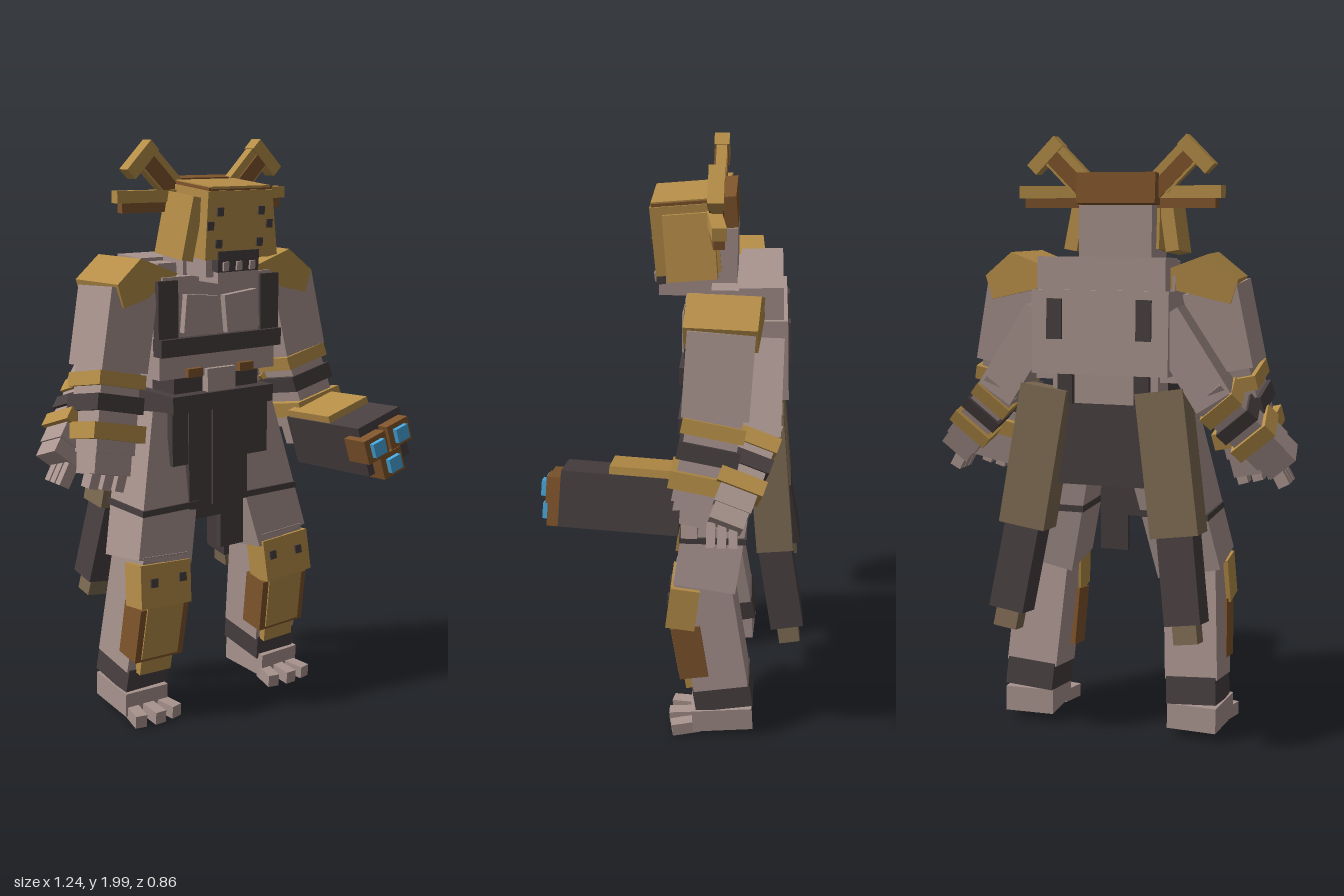
import * as THREE from 'three';

const V = (a) => new THREE.Vector3(...a);

export function createModel() {
  const root = new THREE.Group();
  root.name = 'armouredGuardian';
  const mat = (name, color) => {
    const m = new THREE.MeshStandardMaterial({ color });
    m.name = name;
    return m;
  };
  const skin = mat('greySkin', 0xa9948f), gold = mat('gold', 0xb68e48), brown = mat('brown', 0x80552c);
  const dark = mat('darkLeather', 0x483f40), taupe = mat('taupeCloth', 0x7d6a52), blue = mat('blueGlow', 0x48a6dc);

  // Axis-aligned or rotated block
  function box(name, m, size, pos, rot = [0, 0, 0], parent = root) {
    const mesh = new THREE.Mesh(new THREE.BoxGeometry(...size), m);
    mesh.name = name;
    mesh.position.set(...pos);
    mesh.rotation.set(...rot);
    parent.add(mesh);
    return mesh;
  }
  // Block running from point a to point b, covering fractions t0..t1 of the way
  function limb(name, m, a, b, w, d, t0 = 0, t1 = 1) {
    const A = V(a), B = V(b), dir = B.clone().sub(A);
    const mesh = box(name, m, [w, dir.length() * (t1 - t0), d], A.clone().lerp(B, (t0 + t1) / 2).toArray());
    mesh.quaternion.setFromUnitVectors(V([0, -1, 0]), dir.normalize());
    return mesh;
  }

  // Torso
  box('chest', skin, [0.46, 0.3, 0.24], [0, 1.4, -0.15]);
  box('ribs', skin, [0.49, 0.09, 0.24], [0, 1.25, -0.15]);
  box('upperBack', skin, [0.43, 0.2, 0.14], [0, 1.505, -0.262], [0.04, 0, 0]);
  box('middleBack', skin, [0.46, 0.27, 0.14], [0, 1.365, -0.28], [0.04, 0, 0]);
  box('lowerBack', skin, [0.36, 0.16, 0.12], [0, 1.21, -0.23]);
  box('collar', skin, [0.4, 0.07, 0.2], [0, 1.555, -0.2]);
  box('abdomen', dark, [0.36, 0.14, 0.2], [0, 1.16, -0.14]);
  box('navelSkin', skin, [0.12, 0.1, 0.04], [0, 1.18, -0.03]);
  box('chestBand', dark, [0.51, 0.06, 0.05], [0, 1.316, -0.027]);

  // Head and mask
  box('neck', skin, [0.25, 0.28, 0.12], [0, 1.63, -0.12]);
  box('jaw', skin, [0.16, 0.07, 0.15], [0, 1.565, 0.0]);
  box('chin', skin, [0.22, 0.07, 0.12], [0, 1.585, -0.01]);
  const head = new THREE.Group();
  head.name = 'mask';
  head.position.set(0, 1.73, 0);
  head.rotation.x = 0.09;
  root.add(head);
  box('maskFace', gold, [0.27, 0.225, 0.21], [0, 0, -0.015], [0, 0, 0], head);
  box('crownEdge', brown, [0.26, 0.015, 0.2], [0, 0.115, -0.015], [0, 0, 0], head);
  box('crownTop', gold, [0.245, 0.008, 0.195], [0, 0.122, -0.012], [0, 0, 0], head);
  box('rearBand', brown, [0.27, 0.1, 0.07], [0, 0.08, -0.15], [0, 0, 0], head);
  box('mouth', dark, [0.17, 0.07, 0.06], [0, -0.12, 0.065], [0, 0, 0], head);
  for (const x of [-0.055, 0, 0.055]) box('tooth', skin, [0.022, 0.03, 0.01], [x, -0.135, 0.098], [0, 0, 0], head);

  // Belt and hanging cloths
  box('belt', dark, [0.43, 0.06, 0.27], [0, 1.12, -0.13]);
  box('hips', dark, [0.36, 0.2, 0.22], [0, 1.0, -0.16]);
  box('frontApron', dark, [0.41, 0.19, 0.03], [0, 1.0, -0.03]);
  box('rightCloth', dark, [0.14, 0.39, 0.03], [-0.07, 0.9, -0.025]);
  box('leftCloth', dark, [0.1, 0.5, 0.025], [0.05, 0.83, -0.03]);
  box('middleCloth', dark, [0.15, 0.34, 0.02], [0.03, 0.92, -0.01]);
  box('rearApron', dark, [0.34, 0.28, 0.03], [0, 1.0, -0.28], [0.06, 0, 0]);

  for (const s of [1, -1]) {
    const side = s > 0 ? 'left' : 'right';
    const p = (x, y, z) => [s * x, y, z];

    // Mask studs, cheek flaps and horns
    for (const [x, y] of [[0.085, 0.045], [0.122, 0], [0.085, -0.06]])
      box(side + 'MaskStud', dark, [0.025, 0.028, 0.008], p(x, y, 0.092), [0, 0, 0], head);
    box(side + 'CheekFlap', gold, [0.045, 0.21, 0.16], p(0.16, -0.015, -0.03), [0, 0, s * 0.17], head);
    box(side + 'SideHornTop', gold, [0.23, 0.04, 0.045], p(0.235, 1.813, -0.115), [0, s * 0.12, 0]);
    box(side + 'SideHornUnder', brown, [0.21, 0.035, 0.035], p(0.225, 1.778, -0.115), [0, s * 0.12, 0]);
    limb(side + 'HornSheath', gold, p(0.13, 1.835, -0.115), p(0.245, 1.95, -0.115), 0.085, 0.035);
    limb(side + 'HornStalk', brown, p(0.12, 1.812, -0.113), p(0.235, 1.927, -0.113), 0.05, 0.045);
    limb(side + 'HornTip', gold, p(0.212, 1.98, -0.115), p(0.306, 1.886, -0.115), 0.045, 0.05);

    // Chest details and harness
    box(side + 'Pectoral', skin, [0.14, 0.13, 0.04], p(0.085, 1.42, -0.025), [0, 0, s * 0.1]);
    box(side + 'FrontStrap', dark, [0.08, 0.2, 0.03], p(0.215, 1.44, -0.033));
    box(side + 'BackStrap', dark, [0.05, 0.13, 0.016], p(0.15, 1.41, -0.35), [0.04, 0, 0]);
    box(side + 'LowerBackStrap', dark, [0.05, 0.12, 0.03], p(0.13, 1.19, -0.3));
    box(side + 'BeltBuckle', brown, [0.06, 0.03, 0.03], p(0.11, 1.222, -0.025));

    // Shoulder plate, turned slightly forward at its outer end
    const shape = new THREE.Shape([[0.18, 1.56], [0.335, 1.618], [0.432, 1.54], [0.408, 1.462], [0.22, 1.505]]
      .map(([x, y]) => new THREE.Vector2(s * x, y)));
    const plate = new THREE.Mesh(new THREE.ExtrudeGeometry(shape, { depth: 0.23, bevelEnabled: false }), gold);
    plate.name = side + 'ShoulderPlate';
    plate.position.z = -0.29;
    plate.rotation.y = s * -0.09;
    root.add(plate);

    // Front arm with bands
    const sh = p(0.335, 1.51, -0.14), el = p(0.39, 1.24, -0.125), wr = p(0.45, 0.975, -0.075);
    limb(side + 'UpperArm', skin, sh, el, 0.18, 0.21, 0, 0.97);
    limb(side + 'Forearm', skin, el, wr, 0.15, 0.17, -0.1, 1);
    limb(side + 'ElbowBand', gold, el, wr, 0.18, 0.2, 0.03, 0.2);
    limb(side + 'ForearmBand', dark, el, wr, 0.18, 0.195, 0.3, 0.5);
    limb(side + 'WristBand', gold, el, wr, 0.2, 0.21, 0.64, 0.84);
    limb(side + 'Hand', skin, el, wr, 0.14, 0.15, 0.9, 1.25);
    for (const dx of [-0.05, 0, 0.05]) box(side + 'Finger', skin, [0.035, 0.08, 0.05], p(0.455 + dx, 0.9 + dx * 0.25, -0.05), [0, 0, s * 0.3]);

    // Rear arm with bands
    const rs = p(0.2, 1.42, -0.27), re = p(0.36, 1.175, -0.265), rw = p(0.535, 0.985, -0.18);
    limb(side + 'RearUpperArm', skin, rs, re, 0.13, 0.13, 0, 1.08);
    limb(side + 'RearForearm', skin, re, rw, 0.12, 0.12, -0.1, 1);
    limb(side + 'RearElbowBand', gold, re, rw, 0.14, 0.14, 0.06, 0.24);
    limb(side + 'RearForearmBand', dark, re, rw, 0.14, 0.14, 0.33, 0.5);
    limb(side + 'RearWristBand', gold, re, rw, 0.15, 0.15, 0.6, 0.78);
    limb(side + 'RearHand', skin, re, rw, 0.11, 0.11, 0.9, 1.2);
    for (const dz of [-0.035, 0, 0.035]) box(side + 'RearFinger', skin, [0.04, 0.08, 0.028], p(0.56, 0.91, -0.155 + dz), [0, 0, s * 0.5]);

    // Trailing rear cloth
    const c0 = p(0.195, 1.18, -0.28), c1 = p(0.262, 0.72, -0.325), c2 = p(0.312, 0.38, -0.385);
    limb(side + 'TailCloth', taupe, c0, c1, 0.16, 0.12);
    limb(side + 'TailClothLower', dark, c1, c2, 0.12, 0.11, -0.1, 0.82);
    limb(side + 'TailClothTip', taupe, c1, c2, 0.08, 0.07, 0.8, 1);

    // Leg
    const hip = p(0.15, 1.06, -0.16), knee = p(0.26, 0.57, -0.09), ankle = p(0.29, 0.12, -0.165);
    limb(side + 'Thigh', skin, hip, knee, 0.22, 0.21);
    box(side + 'ThighStrap', dark, [0.236, 0.022, 0.225], p(0.217, 0.76, -0.118));
    limb(side + 'Shin', skin, knee, ankle, 0.18, 0.19, -0.12, 0.84);
    limb(side + 'AnkleWrap', dark, knee, ankle, 0.17, 0.2, 0.82, 1.02);
    box(side + 'KneePad', gold, [0.205, 0.15, 0.1], p(0.268, 0.505, -0.018), [-0.12, 0, s * 0.06]);
    for (const x of [0.2, 0.318]) box(side + 'KneeStud', dark, [0.028, 0.03, 0.008], p(x, 0.525, 0.032), [-0.12, 0, s * 0.06]);
    box(side + 'ShinGuardSides', brown, [0.2, 0.2, 0.1], p(0.27, 0.335, -0.045), [0.16, 0, s * 0.04]);
    box(side + 'ShinGuard', gold, [0.15, 0.21, 0.03], p(0.27, 0.345, -0.003), [0.16, 0, s * 0.04]);
    box(side + 'ShinGuardFoot', gold, [0.13, 0.07, 0.05], p(0.275, 0.21, -0.05), [0.16, 0, s * 0.04]);

    // Foot and toes
    box(side + 'Foot', skin, [0.17, 0.085, 0.21], p(0.295, 0.07, -0.155), [0.06, s * 0.05, 0]);
    for (const dx of [-0.065, 0, 0.065])
      box(side + 'Toe', skin, [0.042, 0.045, 0.1], p(0.295 + dx, 0.03, dx ? -0.03 : -0.02), [0.08, s * dx * 3, 0]);
  }

  // Arm cannon held by the left arm
  const cannon = new THREE.Group();
  cannon.name = 'armCannon';
  cannon.position.set(0.425, 0.965, 0.17);
  cannon.rotation.set(-0.06, 0, 0.27);
  root.add(cannon);
  const part = (name, m, size, pos) => box(name, m, size, pos, [0, 0, 0], cannon);
  part('cannonBody', dark, [0.2, 0.18, 0.38], [0, 0, 0]);
  part('cannonTopPlate', gold, [0.19, 0.03, 0.22], [0, 0.1, -0.07]);
  for (const [x, y] of [[-0.075, 0.015], [0.038, 0.022], [-0.022, -0.065]]) {
    part('cannonBarrel', brown, [0.1, 0.085, 0.1], [x, y, 0.185]);
    part('cannonLens', blue, [0.055, 0.05, 0.02], [x, y, 0.243]);
  }
  return root;
}
